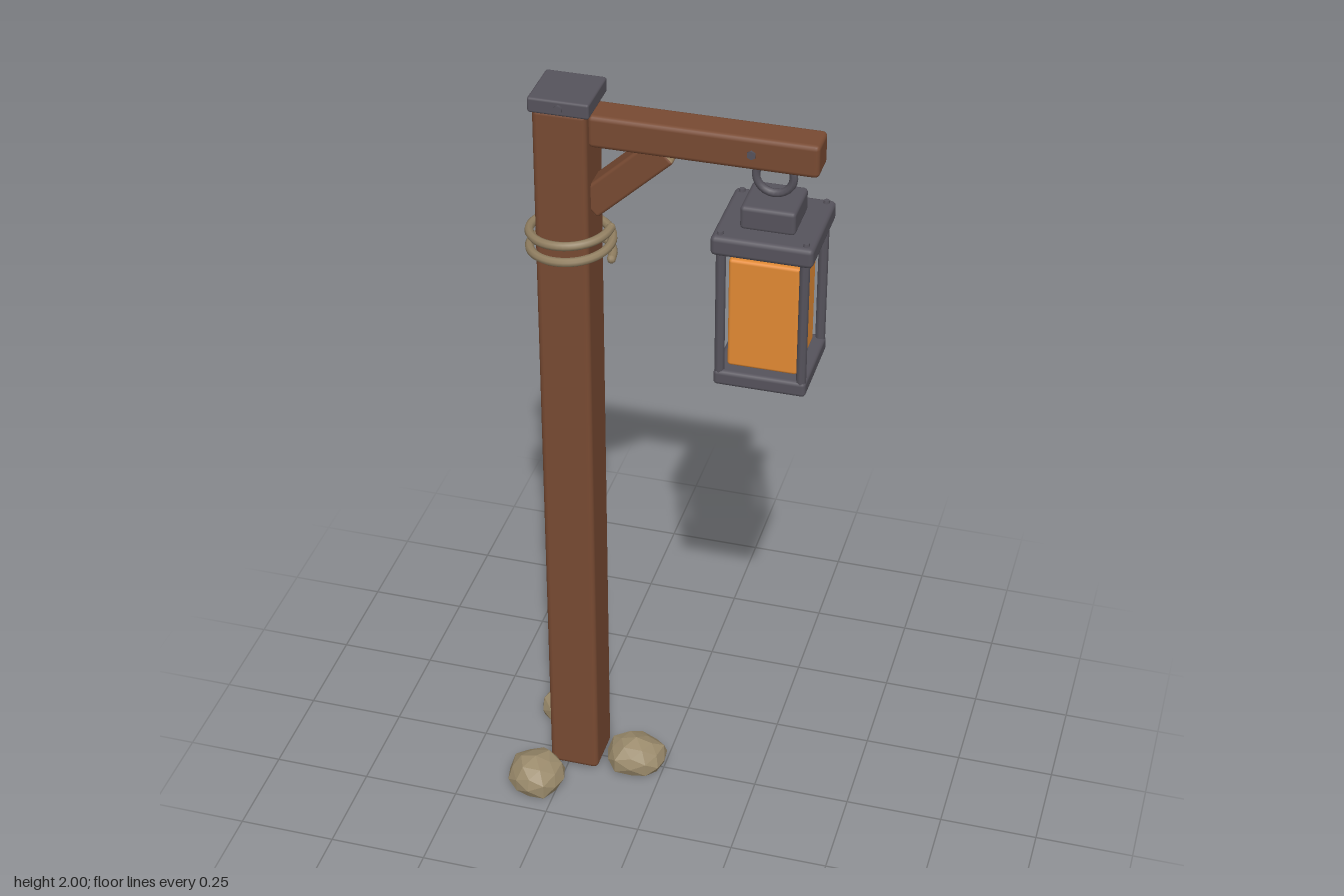
import * as THREE from 'three';
import { RoundedBoxGeometry } from 'three/addons/geometries/RoundedBoxGeometry.js';

const mat = (name, color, flatShading = false) => {
  const m = new THREE.MeshStandardMaterial({ color, flatShading });
  m.name = name;
  return m;
};

export function createModel() {
  const wood = mat('brown wood', 0x784a32);
  const endGrain = mat('pale end grain', 0x9a8260);
  const metal = mat('dark iron', 0x56535c);
  const rope = mat('rope', 0x928062);
  const stone = mat('stone', 0x9a8a6b, true);
  const glow = mat('amber glass', 0xe28a34);

  const model = new THREE.Group();
  model.name = 'lanternPost';

  const add = (parent, name, geometry, material, x, y, z) => {
    const mesh = new THREE.Mesh(geometry, material);
    mesh.name = name;
    mesh.position.set(x, y, z);
    parent.add(mesh);
    return mesh;
  };
  const block = (w, h, d, r = 0.012) => new RoundedBoxGeometry(w, h, d, 2, r);

  // Timber frame; material order is +x, -x, +y, -y, +z, -z
  const postX = -0.23;
  add(model, 'post', block(0.13, 1.96, 0.13, 0.014),
    [wood, wood, endGrain, endGrain, wood, wood], postX, 0.988, 0);
  add(model, 'arm', block(0.54, 0.082, 0.086), wood, 0.1, 1.915, 0);
  const brace = add(model, 'brace', block(0.25, 0.074, 0.07, 0.008),
    [endGrain, endGrain, wood, wood, wood, wood], -0.085, 1.8, 0);
  brace.rotation.z = 0.75;

  // Iron cap with a bolt on the front and back
  add(model, 'postCap', block(0.146, 0.038, 0.146, 0.006), metal, -0.228, 1.981, 0);
  const bolt = new THREE.CylinderGeometry(0.011, 0.011, 0.012, 6);
  for (const s of [-1, 1]) {
    add(model, 'capBolt', bolt, metal, -0.226, 1.981, s * 0.074).rotation.x = Math.PI / 2;
    add(model, 'armBolt', bolt, metal, 0.215, 1.915, s * 0.042).rotation.x = Math.PI / 2;
  }

  // Rope wound twice round the post
  const turns = [];
  for (let i = 0; i <= 48; i++) {
    const a = (i / 48) * Math.PI * 4;
    turns.push(new THREE.Vector3(
      -0.226 + Math.cos(a) * 0.098, 1.562 + (i / 48) * 0.086, -Math.sin(a) * 0.098));
  }
  const coil = new THREE.CatmullRomCurve3(turns);
  add(model, 'ropeCoil', new THREE.TubeGeometry(coil, 96, 0.011, 8), rope, 0, 0, 0);
  for (const p of [turns[0], turns[48]]) {
    add(model, 'ropeEnd', new THREE.SphereGeometry(0.011, 8, 6), rope, p.x, p.y, p.z);
  }

  // Lantern
  const lantern = new THREE.Group();
  lantern.name = 'lantern';
  lantern.position.x = 0.26;
  model.add(lantern);
  add(lantern, 'hookRing', new THREE.TorusGeometry(0.044, 0.01, 8, 24), metal, 0, 1.845, 0);
  add(lantern, 'lanternTop', block(0.13, 0.06, 0.13, 0.01), metal, 0, 1.761, 0);
  add(lantern, 'lanternRoof', block(0.24, 0.05, 0.24), metal, 0, 1.71, 0);
  add(lantern, 'lanternBase', block(0.222, 0.04, 0.222, 0.01), metal, 0, 1.35, 0);
  add(lantern, 'lanternGlass', block(0.168, 0.288, 0.168, 0.008), glow, 0, 1.516, 0);
  for (const sx of [-1, 1]) {
    for (const sz of [-1, 1]) {
      add(lantern, 'cornerBar', new THREE.CylinderGeometry(0.012, 0.012, 0.34, 8),
        metal, sx * 0.098, 1.53, sz * 0.098);
      add(lantern, 'roofRivet', new THREE.CylinderGeometry(0.007, 0.009, 0.01, 6),
        metal, sx * 0.1, 1.737, sz * 0.1);
    }
  }

  // Flat-bottomed stones: lumpy spheres squashed to size
  const addStone = (x, z, rx, rz, seed) => {
    const g = new THREE.IcosahedronGeometry(1, 1);
    const p = g.attributes.position;
    const v = new THREE.Vector3();
    for (let i = 0; i < p.count; i++) {
      v.fromBufferAttribute(p, i);
      v.multiplyScalar(1 + 0.09 * Math.sin(v.x * 4 + seed) * Math.cos(v.z * 5 + seed * 2));
      p.setXYZ(i, v.x * rx, Math.max(v.y, -0.45) * 0.06, v.z * rz);
    }
    g.computeVertexNormals();
    add(model, 'stone', g, stone, x, 0.027, z);
  };
  addStone(-0.305, -0.145, 0.076, 0.078, 1);
  addStone(-0.31, 0.143, 0.076, 0.078, 2.6);
  addStone(-0.075, 0.002, 0.081, 0.068, 4.2);

  return model;
}
